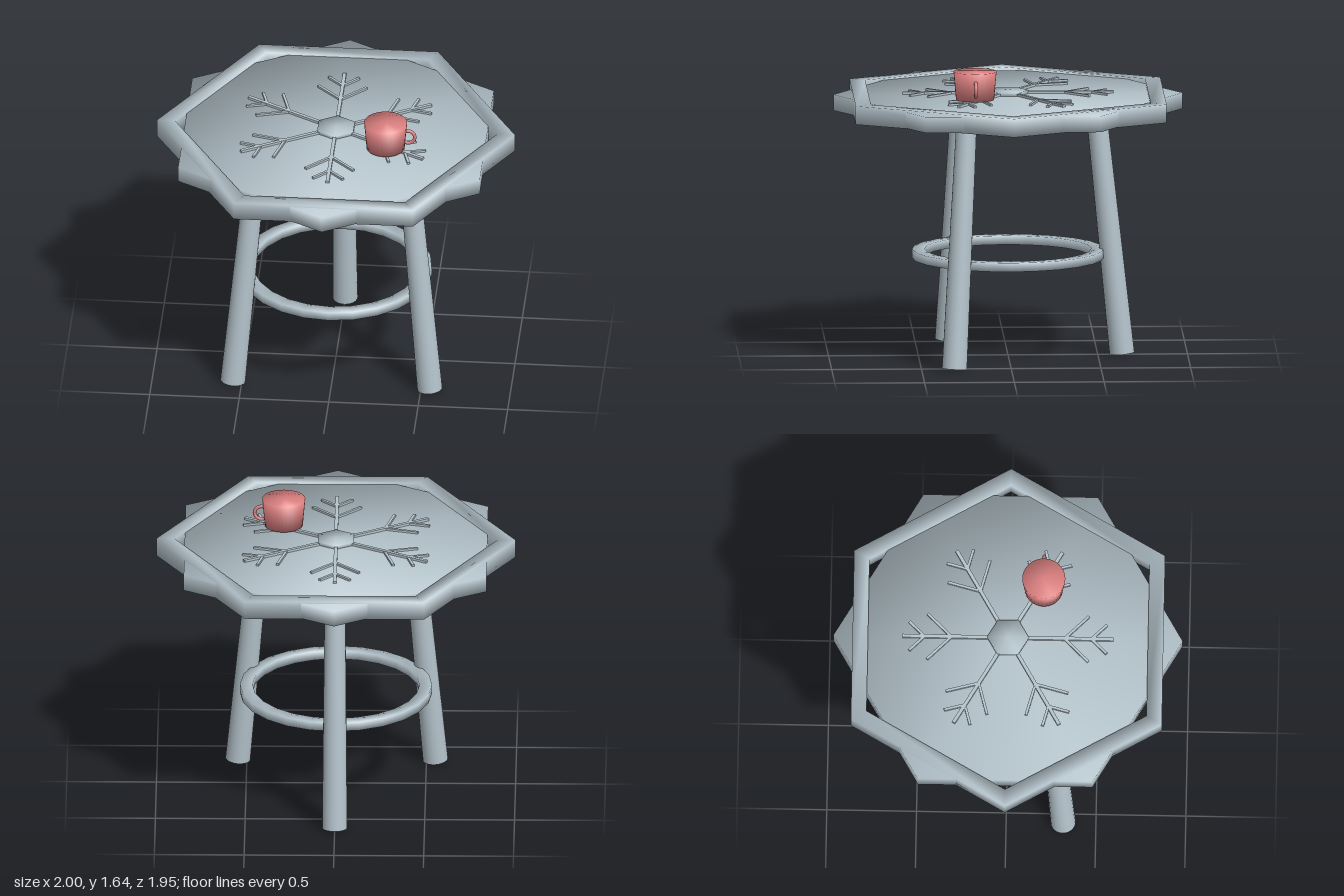
import * as THREE from 'three';

// Turned part with softly averaged corner normals: spread weighs outward against up.
function softLathe(profile, sides, midR, midY, spread) {
  const points = profile.map(([r, y]) => new THREE.Vector2(r, y));
  const geo = new THREE.LatheGeometry(points, sides);
  const pos = geo.attributes.position;
  const n = new THREE.Vector3();
  for (let i = 0; i < pos.count; i++) {
    const x = pos.getX(i), y = pos.getY(i), z = pos.getZ(i);
    const r = Math.hypot(x, z);
    const out = r > 1e-6 ? (Math.sign(r - midR) * spread) / r : 0;
    n.set(x * out, Math.sign(y - midY), z * out).normalize();
    geo.attributes.normal.setXYZ(i, n.x, n.y, n.z);
  }
  return geo;
}

const disc = (rBottom, rTop, y0, y1, sides, spread) =>
  softLathe([[0, y0], [rBottom, y0], [rTop, y1], [0, y1]], sides, 0, (y0 + y1) / 2, spread);

const ring = (rIn, rOut, y0, y1, sides, spread) =>
  softLathe([[rIn, y0], [rOut, y0], [rOut, y1], [rIn, y1], [rIn, y0]],
    sides, (rIn + rOut) / 2, (y0 + y1) / 2, spread);

export function createModel() {
  const model = new THREE.Group();
  const grey = new THREE.MeshStandardMaterial({ color: 0xb4c3cb });
  grey.name = 'paleBlueGrey';
  const pink = new THREE.MeshStandardMaterial({ color: 0xdb7f7f });
  pink.name = 'coralPink';

  const add = (name, geo, mat, parent = model) => {
    const mesh = new THREE.Mesh(geo, mat);
    mesh.name = name;
    parent.add(mesh);
    return mesh;
  };

  // Hexagonal top, and a hexagonal rim turned by 30 degrees
  add('tableTop', disc(0.973, 0.973, 1.383, 1.473, 6, 1.3), grey);
  add('tableRim', ring(0.9, 1.0, 1.38, 1.484, 6, 1.3), grey).rotation.y = Math.PI / 6;

  // Three splayed legs, one at the back
  const up = new THREE.Vector3(0, 1, 0);
  for (const deg of [30, 150, 270]) {
    const a = THREE.MathUtils.degToRad(deg);
    const foot = new THREE.Vector3(Math.cos(a) * 0.635, 0.008, Math.sin(a) * 0.635);
    const head = new THREE.Vector3(Math.cos(a) * 0.488, 1.41, Math.sin(a) * 0.488);
    const axis = head.clone().sub(foot);
    const leg = add('leg', new THREE.CylinderGeometry(0.057, 0.07, axis.length(), 24), grey);
    leg.position.copy(foot).add(head).multiplyScalar(0.5);
    leg.quaternion.setFromUnitVectors(up, axis.normalize());
  }

  // Ring joining the legs
  add('footRing', ring(0.465, 0.535, 0.55, 0.6, 24, 1), grey);

  // Snowflake relief: hub, six arms, two pairs of twigs on each
  const flake = new THREE.Group();
  flake.name = 'snowflake';
  model.add(flake);
  add('snowflakeHub', disc(0.116, 0.116, 1.465, 1.492, 6, 1.3), grey, flake);
  const bar = (name, length, width, top) => {
    const geo = new THREE.BoxGeometry(width, 0.02, length);
    geo.translate(0, top - 0.01, length / 2);
    return new THREE.Mesh(geo, grey);
  };
  for (let i = 0; i < 6; i++) {
    const arm = new THREE.Group();
    arm.name = 'snowflakeArm';
    arm.rotation.y = (i * Math.PI) / 3;
    flake.add(arm);
    const stem = bar('stem', 0.588, 0.02, 1.487);
    stem.name = 'stem';
    arm.add(stem);
    for (const [start, length] of [[0.315, 0.19], [0.465, 0.12]]) {
      for (const side of [-1, 1]) {
        const twig = bar('twig', length, 0.015, 1.485);
        twig.name = 'twig';
        twig.position.z = start;
        twig.rotation.y = (side * Math.PI) / 4;
        arm.add(twig);
      }
    }
  }

  // Cup with a loop handle
  const cup = new THREE.Group();
  cup.name = 'cup';
  cup.position.set(0.293, 0, 0.194);
  model.add(cup);
  add('cupBody', disc(0.106, 0.12, 1.485, 1.645, 32, 1), pink, cup);
  const handle = add('cupHandle', new THREE.TorusGeometry(0.038, 0.01, 10, 24), pink, cup);
  handle.position.set(0.125, 1.558, 0);

  return model;
}
